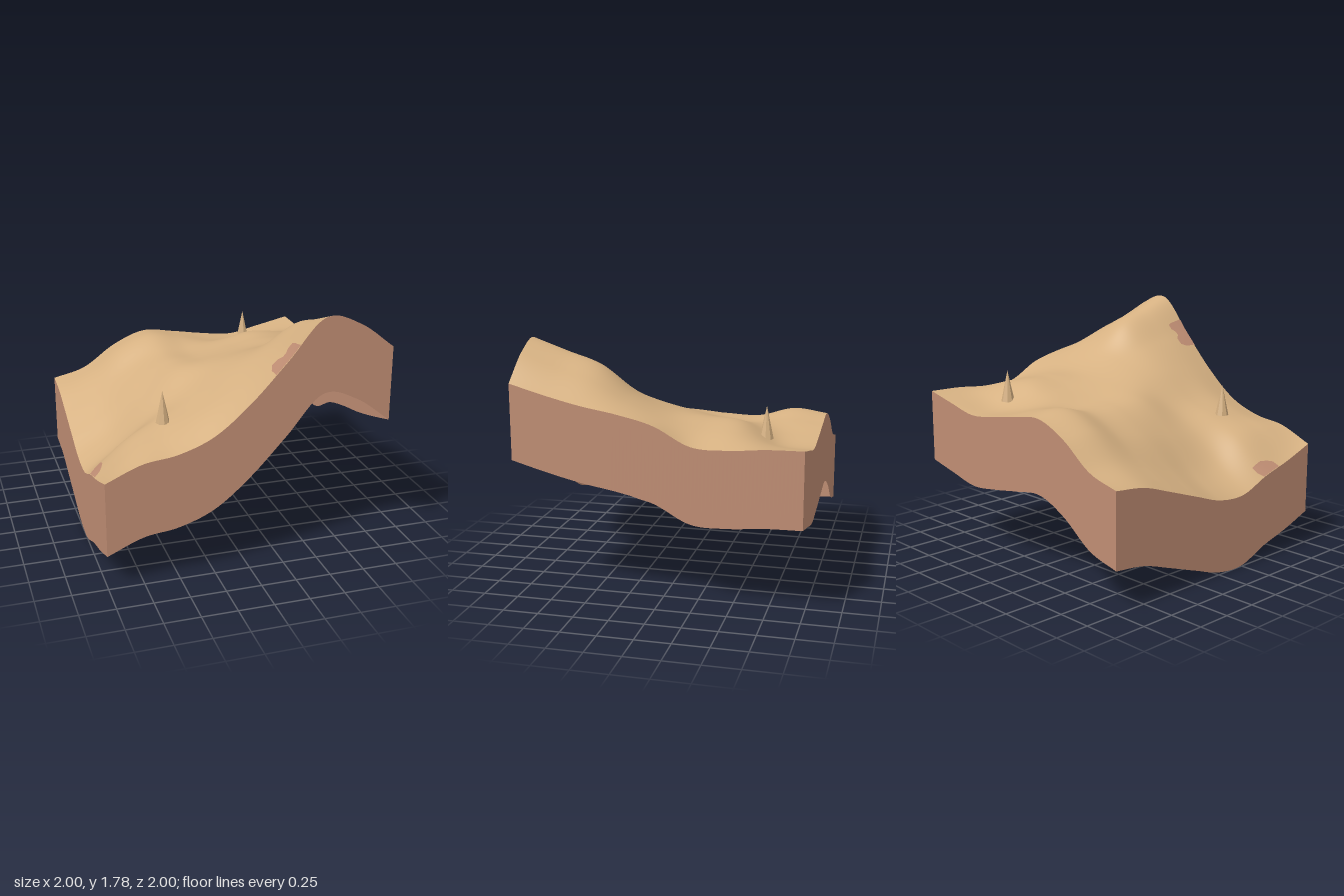
import * as THREE from 'three';

// Terrain heights every 0.25 units: rows run back to front, columns left to right
const HEIGHTS = [
  [0.83, 0.90, 1.07, 1.168, 1.14, 1.10, 1.075, 1.125, 1.18],
  [0.80, 0.905, 1.095, 1.195, 1.16, 1.115, 1.10, 1.14, 1.175],
  [0.72, 0.845, 1.015, 1.13, 1.13, 1.185, 1.24, 1.215, 1.155],
  [0.635, 0.77, 0.98, 1.13, 1.155, 1.215, 1.262, 1.235, 1.165],
  [0.555, 0.70, 0.94, 1.135, 1.205, 1.26, 1.287, 1.295, 1.29],
  [0.542, 0.71, 0.925, 1.09, 1.245, 1.34, 1.40, 1.395, 1.355],
  [0.632, 0.86, 0.985, 1.09, 1.27, 1.43, 1.595, 1.53, 1.40],
  [0.70, 0.895, 0.98, 1.085, 1.265, 1.475, 1.685, 1.61, 1.46],
  [0.785, 0.89, 0.93, 1.03, 1.235, 1.50, 1.772, 1.712, 1.53],
];
const DEPTH = 0.53;
const SEGMENTS = 80;

// Smooth spline through evenly spaced values, t from -1 to 1
function spline(values, t) {
  const last = values.length - 1;
  const u = THREE.MathUtils.clamp((t + 1) / 2, 0, 1) * last;
  const i = Math.min(Math.floor(u), last - 1);
  const f = u - i;
  const b = values[i], c = values[i + 1];
  const a = i > 0 ? values[i - 1] : 2 * b - c;
  const d = i + 2 <= last ? values[i + 2] : 2 * c - b;
  return b + 0.5 * f * (c - a + f * (2 * a - 5 * b + 4 * c - d + f * (3 * (b - c) + d - a)));
}

const heightAt = (x, z) => spline(HEIGHTS.map((row) => spline(row, x)), z);

// Drape a flat geometry lying in the xz plane over the terrain
function drape(geometry, offset) {
  const p = geometry.attributes.position;
  for (let i = 0; i < p.count; i++) p.setY(i, heightAt(p.getX(i), p.getZ(i)) + offset);
  geometry.computeVertexNormals();
  return geometry;
}

export function createModel() {
  const model = new THREE.Group();
  model.name = 'terrainBlock';

  const sand = new THREE.MeshStandardMaterial({ color: 0xd6b182, side: THREE.DoubleSide });
  sand.name = 'sand';
  const clay = new THREE.MeshStandardMaterial({ color: 0xbf8d73, side: THREE.DoubleSide });
  clay.name = 'clay';

  const add = (name, geometry, material) => {
    const mesh = new THREE.Mesh(geometry, material);
    mesh.name = name;
    model.add(mesh);
    return mesh;
  };

  // Rolling ground surface
  const ground = new THREE.PlaneGeometry(2, 2, SEGMENTS, SEGMENTS).rotateX(-Math.PI / 2);
  add('ground', drape(ground, 0), sand);

  // Four cut walls following the ground's edge, open underneath
  ['front', 'left', 'back', 'right'].forEach((side, k) => {
    const wall = new THREE.PlaneGeometry(2, DEPTH, SEGMENTS, 1);
    wall.translate(0, 0, 1).rotateY(k * Math.PI / 2);
    const p = wall.attributes.position;
    for (let i = 0; i < p.count; i++) {
      const drop = p.getY(i) > 0 ? 0 : DEPTH;
      p.setY(i, heightAt(p.getX(i), p.getZ(i)) - drop);
    }
    add(side + 'Wall', wall, clay);
  });

  // Bare clay patches as strips [across, start, end], showing above and below the ground
  const patches = {
    rightPatch: {
      strips: [[-1, 0.48, 0.65], [-0.98, 0.465, 0.64], [-0.96, 0.45, 0.63], [-0.94, 0.445, 0.59], [-0.92, 0.44, 0.53]],
      place: (across, along) => [across, along],
    },
    frontPatch: {
      strips: [[0.165, 0.91, 1], [0.185, 0.86, 1], [0.225, 0.86, 1], [0.25, 0.89, 1], [0.275, 0.885, 1],
        [0.295, 0.86, 1], [0.325, 0.86, 1], [0.33, 0.9, 1]],
      place: (across, along) => [across, along],
    },
  };
  const STEPS = 6;
  for (const [name, { strips, place }] of Object.entries(patches)) {
    for (const [level, offset] of [['Top', 0.005], ['Underside', -0.005]]) {
      const patch = new THREE.PlaneGeometry(1, 1, STEPS, strips.length - 1);
      const p = patch.attributes.position;
      strips.forEach(([across, start, end], row) => {
        for (let s = 0; s <= STEPS; s++) {
          const [x, z] = place(across, THREE.MathUtils.lerp(start, end, s / STEPS));
          p.setXYZ(row * (STEPS + 1) + s, x, 0, z);
        }
      });
      add(name + level, drape(patch, offset), clay);
    }
  }

  // Faceted spikes pushed slightly into the ground
  for (const [name, x, base, z] of [['backSpike', 0.5, 1.13, -0.67], ['frontSpike', -0.5, 0.995, 0.58]]) {
    const cone = new THREE.ConeGeometry(0.05, 0.23, 8).toNonIndexed();
    cone.computeVertexNormals();
    add(name, cone, sand).position.set(x, base + 0.115, z);
  }

  return model;
}
